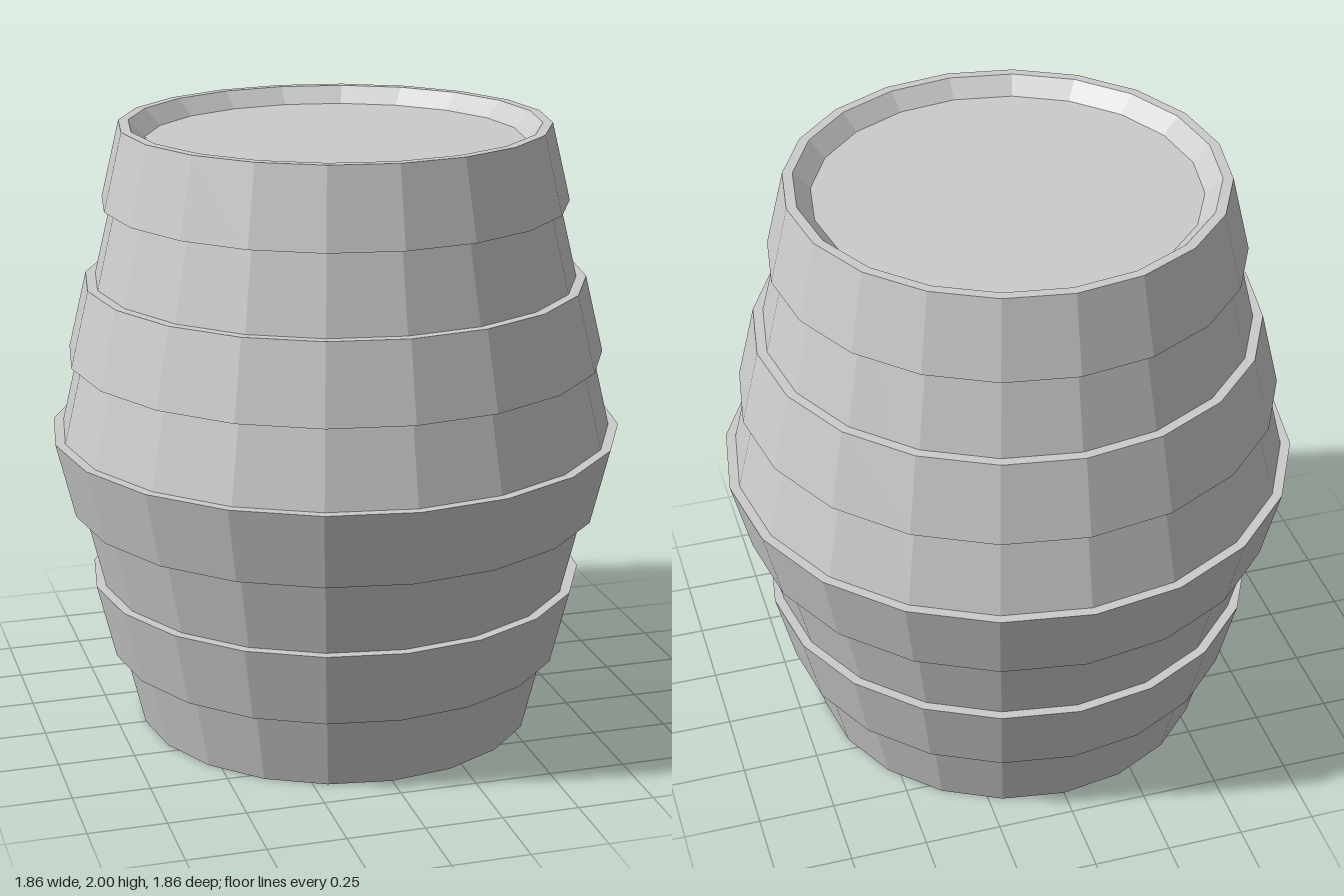
import * as THREE from 'three';

const SIDES = 20;
const HOOP = 0.032; // how far a hoop stands out from the staves

export function createModel() {
  const model = new THREE.Group();
  model.name = 'barrel';
  const material = new THREE.MeshStandardMaterial({ color: 0xcccccc, flatShading: true });

  // Radius of the staves at a height: widest in the middle
  const radius = (y) => 0.9 - 0.24 * Math.abs(y - 1);

  const addLathe = (name, profile) => {
    const points = profile.map(([r, y]) => new THREE.Vector2(r, y));
    const mesh = new THREE.Mesh(new THREE.LatheGeometry(points, SIDES), material);
    mesh.name = name;
    model.add(mesh);
  };

  // Staves with the base
  addLathe('staves', [[0, 0], [radius(0), 0], [radius(1), 1], [radius(2), 2]]);

  // Sunken lid with its sloping rim
  addLathe('lid', [[radius(2), 2], [0.607, 1.947], [0, 1.947]]);

  // Hoops follow the slope of the staves; the top one also forms the lip
  const hoops = { lowerHoop: 0.25, middleHoop: 0.75, upperHoop: 1.25, topHoop: 1.75 };
  for (const [name, y] of Object.entries(hoops)) {
    const top = y + 0.25;
    addLathe(name, [
      [radius(y), y],
      [radius(y) + HOOP, y],
      [radius(top) + HOOP, top],
      [radius(top), top],
    ]);
  }

  return model;
}
